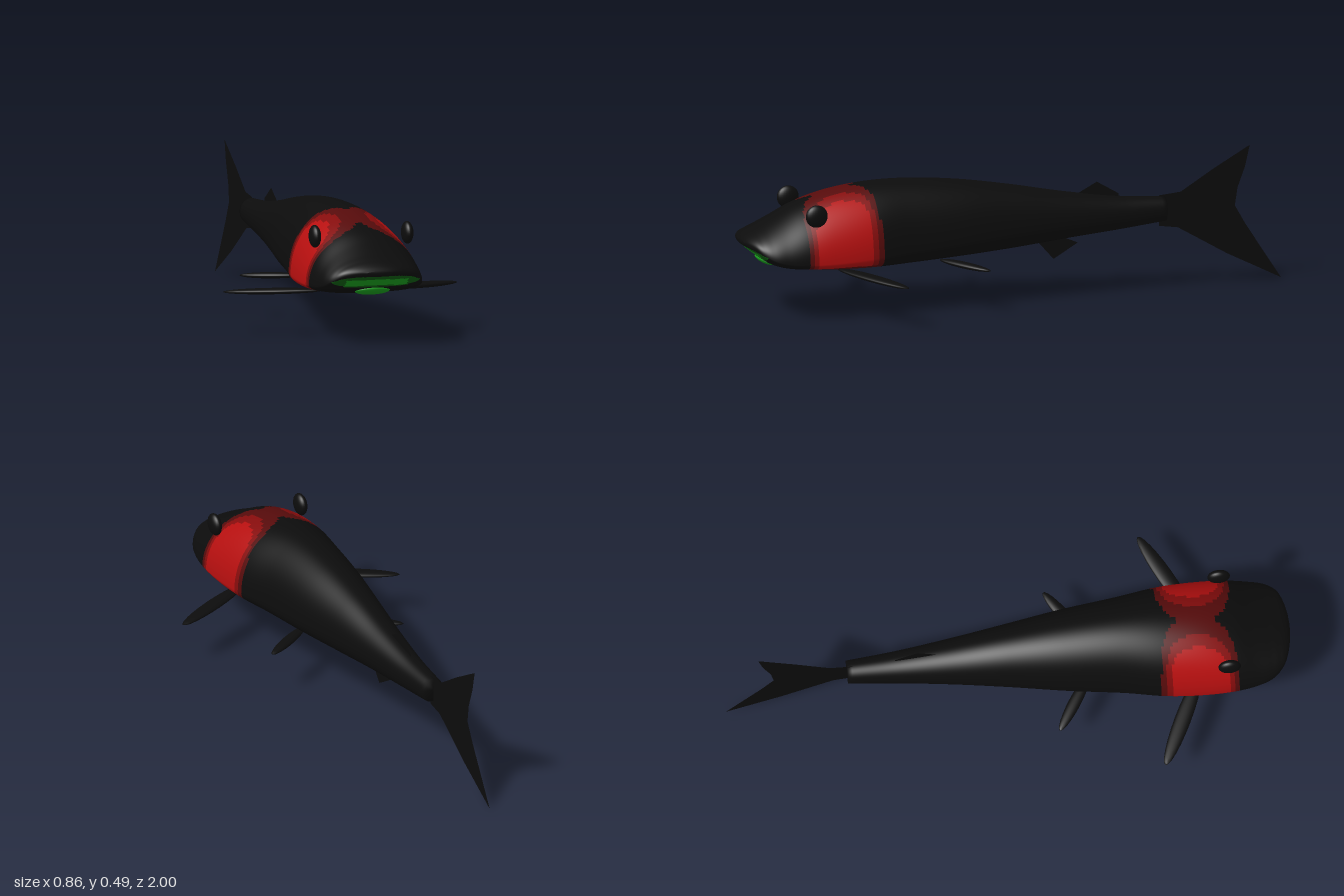
import * as THREE from 'three';

const mat = (name, color, extra = {}) => {
  const m = new THREE.MeshStandardMaterial({ color, ...extra });
  m.name = name;
  return m;
};

// Body stations from tail to nose: z, half width, back height, belly height, height of the widest point
const STATIONS = [
  [-0.57, 0.04, 0.32, 0.235, 0.275], [-0.4, 0.055, 0.333, 0.217, 0.27],
  [-0.2, 0.08, 0.363, 0.2, 0.265], [0, 0.11, 0.402, 0.182, 0.255],
  [0.2, 0.143, 0.434, 0.17, 0.24], [0.4, 0.17, 0.45, 0.162, 0.225],
  [0.55, 0.196, 0.445, 0.16, 0.213], [0.7, 0.205, 0.42, 0.166, 0.205],
  [0.8, 0.202, 0.385, 0.174, 0.205], [0.87, 0.192, 0.348, 0.181, 0.21],
  [0.92, 0.178, 0.322, 0.197, 0.222], [0.95, 0.158, 0.307, 0.217, 0.238],
  [0.975, 0.125, 0.293, 0.239, 0.256], [0.99, 0.08, 0.281, 0.25, 0.264],
  [0.997, 0.045, 0.272, 0.257, 0.266],
];

// Colour index of a point on the skin: 0 black, 1-3 reds, 4-5 greens
function skinColour(x, y, z, lower) {
  const ax = Math.abs(x);
  if (z > 0.88) {
    const reach = 1 - (ax / 0.165) ** 4;
    if (reach > 0 && Math.abs(y - 0.231) < 0.022 * reach && (lower || y < 0.25)) {
      return ax < 0.115 && Math.abs(y - 0.227) < 0.012 ? 5 : 4;
    }
    return 0;
  }
  const inside = (w, h) => (Math.max(0, 0.2 - ax) / w) ** 2.6 + (Math.abs(z - 0.665) / h) ** 2.6 < 1;
  if (lower && y < 0.185) {
    // belly: dark band with a lighter middle
    if (Math.abs(z - 0.665) > 0.137) return 0;
    return (ax / 0.12) ** 2 + ((z - 0.64) / 0.09) ** 2 < 1 ? 2 : 1;
  }
  if (inside(0.105, 0.103)) return 3;
  if (inside(0.145, 0.12)) return 2;
  return inside(0.208, 0.137) ? 1 : 0;
}

function bodyGeometry(rings, sides) {
  const spline = new THREE.CubicInterpolant(
    STATIONS.map((s) => s[0]), STATIONS.flatMap((s) => s.slice(1)), 4, new Float32Array(4));
  const z0 = STATIONS[0][0], z1 = STATIONS[STATIONS.length - 1][0];
  const pos = [], faces = [[], [], [], [], [], []];
  for (let i = 0; i <= rings; i++) {
    const z = z0 + (z1 - z0) * (1 - (1 - i / rings) ** 1.6);
    const [w, top, bottom, mid] = spline.evaluate(z);
    for (let j = 0; j < sides; j++) {
      const a = (j / sides) * Math.PI * 2, c = Math.cos(a), s = Math.sin(a);
      // domed back, flatter belly with rounded corners
      if (s >= 0) pos.push(w * c, mid + (top - mid) * s, z);
      else pos.push(w * Math.sign(c) * Math.abs(c) ** 0.65, mid - (mid - bottom) * (-s) ** 0.9, z);
    }
  }
  for (let i = 0; i < rings; i++) {
    for (let j = 0; j < sides; j++) {
      const k = (j + 1) % sides;
      const a = i * sides + j, b = i * sides + k, c = a + sides, d = b + sides;
      const mean = (n) => (pos[a * 3 + n] + pos[b * 3 + n] + pos[c * 3 + n] + pos[d * 3 + n]) / 4;
      faces[skinColour(mean(0), mean(1), mean(2), j >= sides / 2)].push(a, b, c, b, d, c);
    }
  }
  // end caps
  const end = pos.length / 3, last = rings * sides;
  pos.push(0, 0.278, z0, 0, 0.265, 1);
  for (let j = 0; j < sides; j++) {
    const k = (j + 1) % sides;
    faces[0].push(end, k, j, end + 1, last + j, last + k);
  }
  const geo = new THREE.BufferGeometry();
  geo.setAttribute('position', new THREE.Float32BufferAttribute(pos, 3));
  geo.setIndex(faces.flat());
  let start = 0;
  faces.forEach((f, n) => {
    geo.addGroup(start, f.length, n);
    start += f.length;
  });
  geo.computeVertexNormals();
  return geo;
}

export function createModel() {
  const model = new THREE.Group();
  model.name = 'fish';
  const black = mat('black skin', 0x0c0c0c);
  const finBlack = mat('black fin', 0x0c0c0c, { side: THREE.DoubleSide });
  const skin = [
    black, mat('dark red', 0x560b0b), mat('medium red', 0x850c0c), mat('bright red', 0xb50f0f),
    mat('dark green', 0x0d5a10), mat('bright green', 0x189a1c),
  ];
  const add = (name, geo, material) => {
    const mesh = new THREE.Mesh(geo, material);
    mesh.name = name;
    model.add(mesh);
    return mesh;
  };

  add('body', bodyGeometry(150, 96), skin);

  // lower lip
  const lip = add('lowerLip', new THREE.SphereGeometry(1, 24, 12), skin[5]);
  lip.scale.set(0.065, 0.013, 0.035);
  lip.position.set(0, 0.192, 0.905);
  lip.rotation.x = -0.35;

  // eyes and paired fins
  for (const side of [1, -1]) {
    const label = side > 0 ? 'left' : 'right';
    const eye = add(label + 'Eye', new THREE.SphereGeometry(1, 24, 16), black);
    eye.scale.set(0.02, 0.04, 0.04);
    eye.position.set(side * 0.17, 0.373, 0.768);

    const paddle = (name, x, y, z, length, width, yaw, droop) => {
      const fin = add(label + name, new THREE.SphereGeometry(1, 24, 12), black);
      fin.scale.set(length, 0.011, width);
      fin.position.set(side * x, y, z);
      fin.rotation.set(0, side * yaw, -side * droop);
    };
    paddle('PectoralFin', 0.27, 0.158, 0.59, 0.18, 0.029, 0.46, 0.04);
    paddle('PelvicFin', 0.165, 0.159, 0.218, 0.115, 0.022, 0.58, 0.04);
  }

  // flat upright fins, outlined as [z, y]
  const blade = (name, points) => {
    const geo = new THREE.ShapeGeometry(new THREE.Shape(points.map(([z, y]) => new THREE.Vector2(-z, y))));
    geo.rotateY(Math.PI / 2);
    add(name, geo, finBlack);
  };
  blade('tailFin', [
    [-0.55, 0.215], [-0.55, 0.325], [-0.63, 0.333], [-0.75, 0.408], [-0.885, 0.485], [-0.868, 0.41],
    [-0.84, 0.335], [-0.83, 0.27], [-0.87, 0.2], [-1, 0], [-0.8, 0.1], [-0.62, 0.205],
  ]);
  blade('dorsalFin', [[-0.22, 0.33], [-0.26, 0.358], [-0.32, 0.39], [-0.4, 0.343], [-0.4, 0.31]]);
  blade('analFin', [[-0.08, 0.21], [-0.1, 0.19], [-0.16, 0.122], [-0.25, 0.175], [-0.18, 0.205], [-0.18, 0.22]]);

  return model;
}
